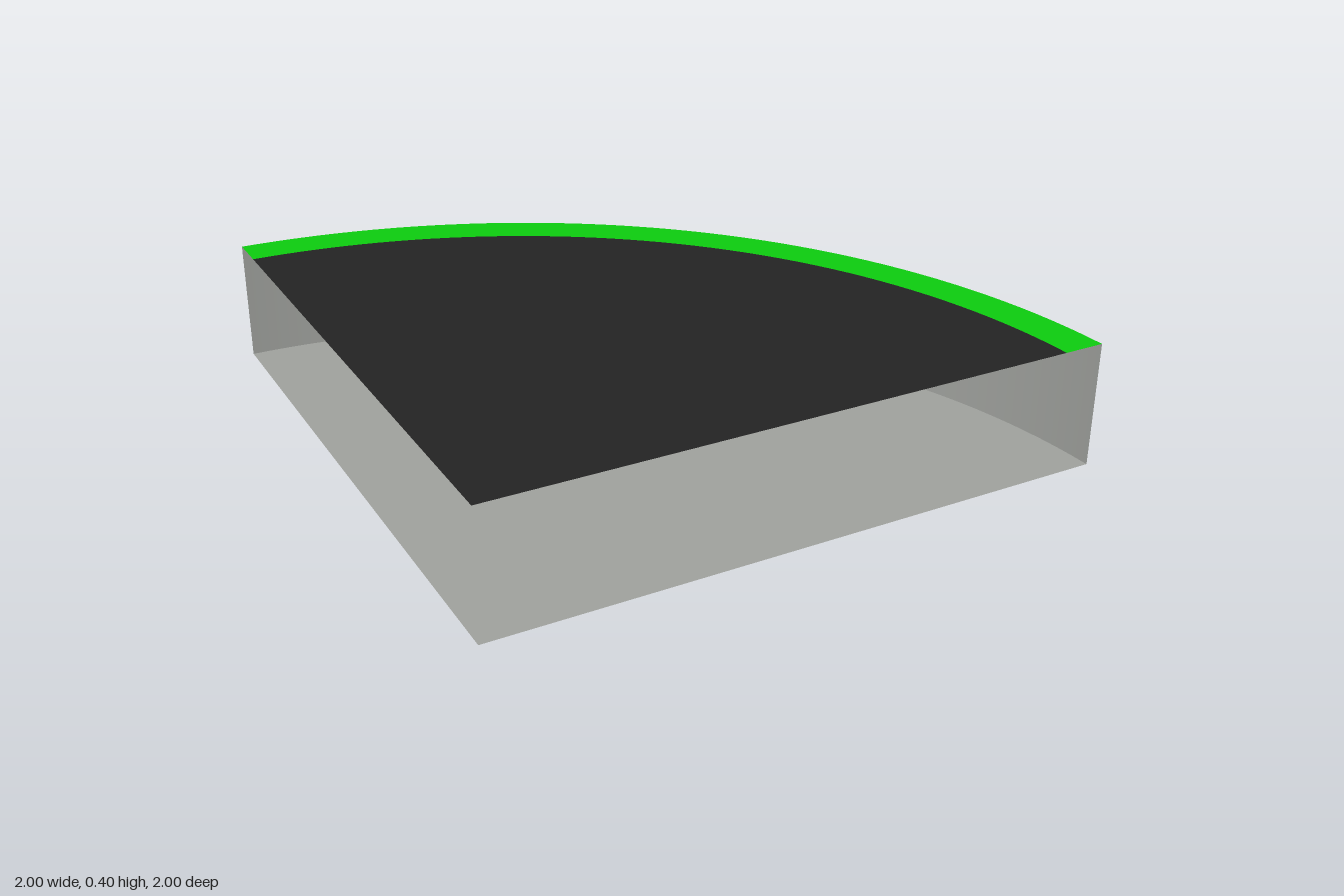
import * as THREE from 'three';

const RADIUS = 2, HEIGHT = 0.4, INNER = 1.865, SEGMENTS = 48, QUARTER = Math.PI / 2;

function material(name, color) {
  const m = new THREE.MeshStandardMaterial({ color, side: THREE.DoubleSide });
  m.name = name;
  return m;
}

export function createModel() {
  const group = new THREE.Group();
  group.name = 'quarterDisc';
  const grey = material('light grey', 0x9fa19d);
  const green = material('bright green', 0x0dcc0f);
  const black = material('black', 0x232323);

  // Every part shares the corner of the quarter circle as its centre
  function add(name, geometry, mat, y) {
    const mesh = new THREE.Mesh(geometry, mat);
    mesh.name = name;
    mesh.position.set(-1, y, 1);
    group.add(mesh);
  }

  // Curved outer wall; the two straight sides stay open
  add('curvedWall', new THREE.CylinderGeometry(
    RADIUS, RADIUS, HEIGHT, SEGMENTS, 1, true, QUARTER, QUARTER), grey, HEIGHT / 2);

  // Floor facing down
  add('floor', new THREE.CircleGeometry(RADIUS, SEGMENTS, -QUARTER, QUARTER)
    .rotateX(QUARTER), grey, 0);

  // Top: dark sector with a green rim
  add('topSector', new THREE.CircleGeometry(INNER, SEGMENTS, 0, QUARTER)
    .rotateX(-QUARTER), black, HEIGHT);
  add('topRim', new THREE.RingGeometry(INNER, RADIUS, SEGMENTS, 1, 0, QUARTER)
    .rotateX(-QUARTER), green, HEIGHT);

  return group;
}
